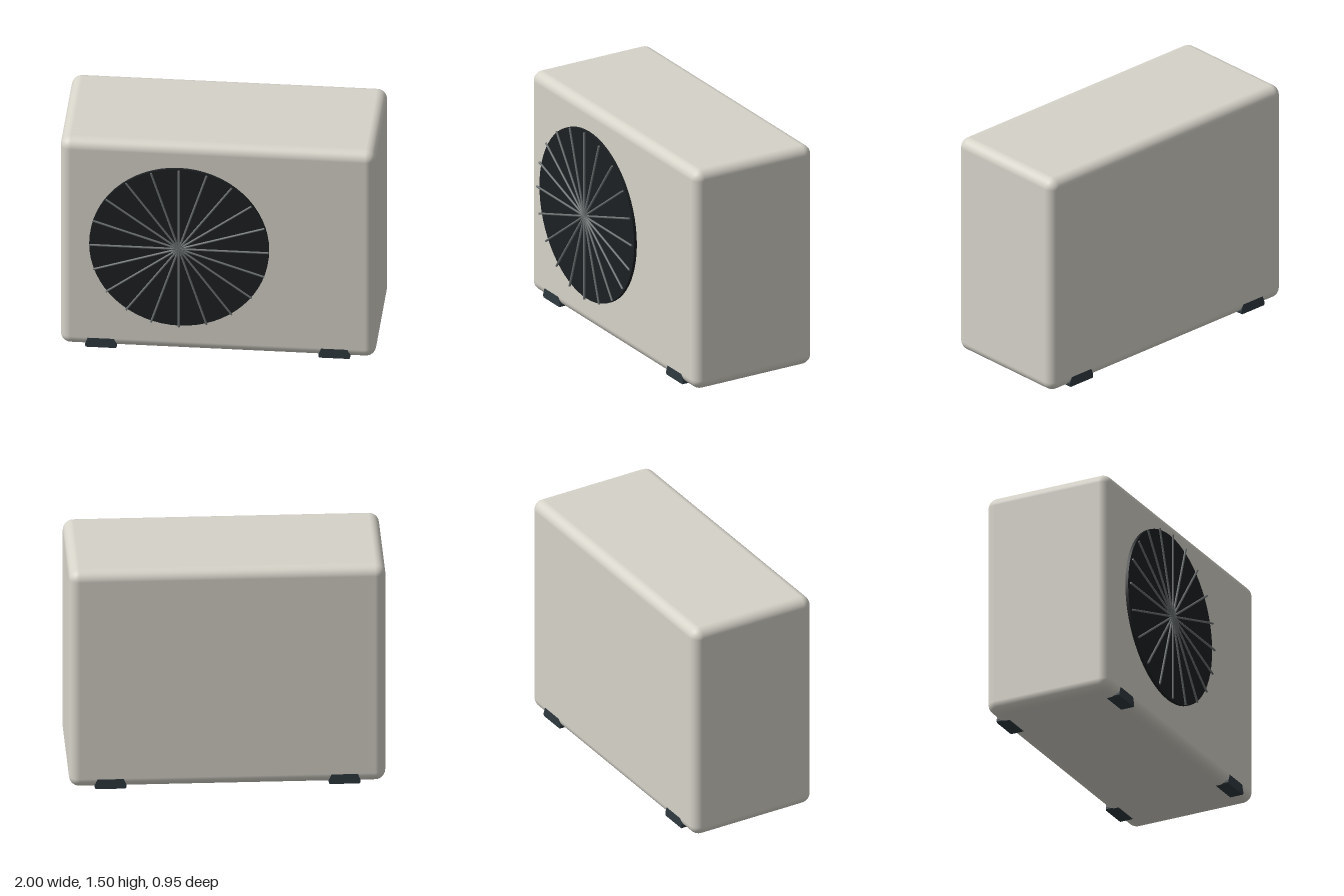
import * as THREE from 'three';
import { RoundedBoxGeometry } from 'three/addons/geometries/RoundedBoxGeometry.js';

const material = (color, extra = {}) => new THREE.MeshStandardMaterial({ color, ...extra });

function addMesh(parent, name, geometry, mat, x = 0, y = 0, z = 0) {
  const mesh = new THREE.Mesh(geometry, mat);
  mesh.name = name;
  mesh.position.set(x, y, z);
  parent.add(mesh);
  return mesh;
}

// Foot block with chamfered edges, extruded along z and centred
function footGeometry(width, height, depth) {
  const w = width / 2;
  const shape = new THREE.Shape([
    [-w + 0.006, 0], [w - 0.006, 0], [w, 0.008], [w, 0.022],
    [w - 0.016, height], [-w + 0.016, height], [-w, 0.022], [-w, 0.008],
  ].map(([x, y]) => new THREE.Vector2(x, y)));
  return new THREE.ExtrudeGeometry(shape, { depth, bevelEnabled: false }).translate(0, 0, -depth / 2);
}

export function createModel() {
  const model = new THREE.Group();
  model.name = 'outdoorUnit';

  const shell = material(0xd6d3c9);
  const dark = material(0x1c2022);
  const steel = material(0x6c7172);
  const rubber = material(0x2f3a40, { flatShading: true });

  // Rounded casing
  const back = -0.474, front = 0.402;
  addMesh(model, 'casing', new RoundedBoxGeometry(2, 1.497, front - back, 6, 0.066), shell,
    0, 0.7515, (front + back) / 2);

  // Fan opening disc and radial guard wires in front of it
  const fan = new THREE.Group();
  fan.name = 'fanGuard';
  fan.position.set(-0.24, 0.783, 0);
  model.add(fan);
  const radius = 0.57;
  addMesh(fan, 'fanDisc', new THREE.CylinderGeometry(radius, radius, 0.02, 64).rotateX(Math.PI / 2), dark, 0, 0, 0.438);
  const wire = new THREE.CylinderGeometry(0.007, 0.007, radius * 2, 8);
  for (let i = 0; i < 10; i++) {
    addMesh(fan, 'guardWire', wire, steel, 0, 0, 0.467).rotation.z = (i * Math.PI) / 10;
  }

  // Four feet tucked under the rounded bottom edges
  const depth = 0.09;
  const foot = footGeometry(0.2, 0.066, depth);
  for (const x of [-0.74, 0.74]) {
    addMesh(model, 'frontFoot', foot, rubber, x, 0, front - depth / 2);
    addMesh(model, 'backFoot', foot, rubber, x, 0, back + depth / 2);
  }
  return model;
}
